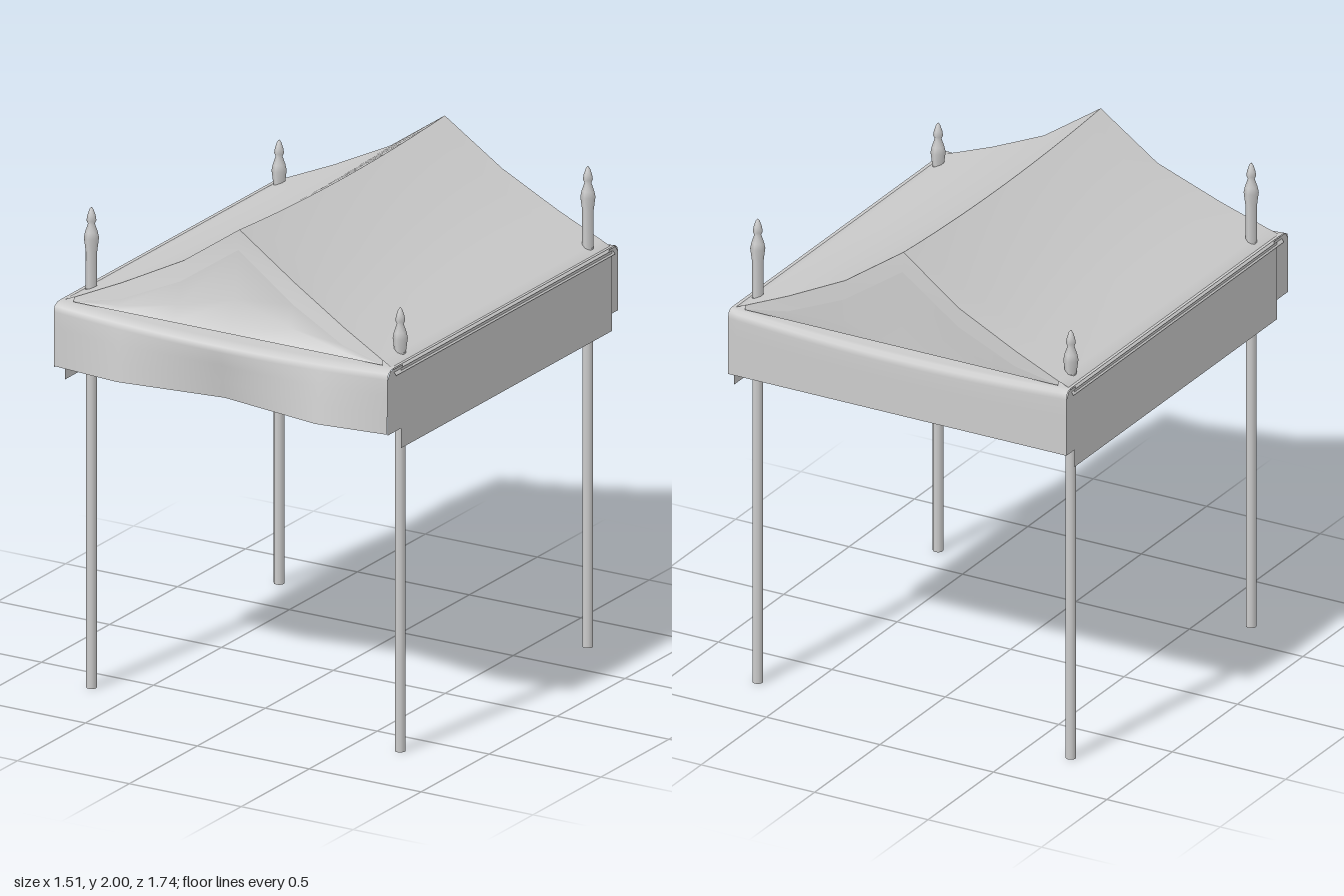
import * as THREE from 'three';

const cloth = new THREE.MeshStandardMaterial({ color: 0xcccccc, side: THREE.DoubleSide });
const metal = new THREE.MeshStandardMaterial({ color: 0xcccccc });

// Smooth sheet through rows x cols points given by point(row, col) -> [x, y, z]
function sheet(name, rows, cols, point) {
  const pos = [], idx = [];
  for (let i = 0; i < rows; i++) for (let j = 0; j < cols; j++) pos.push(...point(i, j));
  for (let i = 0; i < rows - 1; i++) for (let j = 0; j < cols - 1; j++) {
    const a = i * cols + j, b = a + cols;
    idx.push(a, b, a + 1, a + 1, b, b + 1);
  }
  const g = new THREE.BufferGeometry();
  g.setAttribute('position', new THREE.Float32BufferAttribute(pos, 3));
  g.setIndex(idx);
  g.computeVertexNormals();
  const m = new THREE.Mesh(g, cloth);
  m.name = name;
  return m;
}

// Piecewise linear lookup in a list of [key, value]
function lookup(list, t) {
  for (let i = 1; i < list.length; i++) {
    const [a, va] = list[i - 1], [b, vb] = list[i];
    if (t <= b) return va + (vb - va) * (t - a) / (b - a);
  }
  return list[list.length - 1][1];
}

// Roof edge from ridge to eave: x, y, front z, back z
const EDGE = [
  [0, 2.0, 0.69, -0.82], [0.25, 1.828, 0.69, -0.832], [0.5, 1.705, 0.735, -0.832],
  [0.69, 1.622, 0.77, -0.832], [0.735, 1.603, 0.78, -0.83], [0.755, 1.575, 0.78, -0.83],
];
// Inner edge of the gable trim: x, y, front z, back z
const TRIM = [
  [0, 1.92, 0.7, -0.828], [0.25, 1.75, 0.712, -0.836], [0.5, 1.642, 0.752, -0.836],
  [0.69, 1.607, 0.775, -0.834],
];
// Swing of the front hem in z, by x
const WAVE = [[-0.746, 0], [-0.45, 0.03], [0, -0.032], [0.45, 0.042], [0.746, 0.004]];
const HALF = 0.746;

function roof(side) {
  const n = 13;
  return sheet(side > 0 ? 'roofLeft' : 'roofRight', n, EDGE.length, (i, j) => {
    const [x, y, zf, zb] = EDGE[j], t = i / (n - 1);
    const sag = 0.025 * 4 * t * (1 - t) * Math.max(0, 1 - x / 0.7);
    return [side * x, y - sag, zf + (zb - zf) * t];
  });
}

function gable(end) {
  const g = new THREE.Group(), k = end > 0 ? 2 : 3, foot = end > 0 ? 0.775 : -0.834;
  g.name = end > 0 ? 'frontGable' : 'backGable';
  for (const s of [-1, 1]) {
    g.add(sheet('gableTrim', 2, TRIM.length, (i, j) => {
      const p = (i ? TRIM : EDGE)[j];
      return [s * p[0], p[1], p[k]];
    }));
  }
  // Panel across both halves, flaring out to a straight lower edge
  const n = TRIM.length;
  g.add(sheet('gablePanel', 3, 2 * n - 1, (i, j) => {
    const c = j - n + 1, p = TRIM[Math.abs(c)];
    const down = [0, 0.62, 1][i], out = [0, 0.25, 1][i];
    return [
      Math.sign(c) * p[0], p[1] + (1.604 - p[1]) * down, p[k] + (foot - p[k]) * out,
    ];
  }));
  return g;
}

// One sagging drape: front hem, rolled edge, ceiling, rolled edge, back hem
function drape() {
  const section = [
    [0.828, 1.337, 0], [0.828, 1.42, 0.3], [0.828, 1.5, 0.6], [0.828, 1.57, 1],
    [0.822, 1.592, 1], [0.802, 1.603, 1], [0.775, 1.605, 1], [0.6, 1.605, 1], [0, 1.605, 1],
    [-0.7, 1.605, 1], [-0.832, 1.605, 1], [-0.85, 1.603, 1], [-0.862, 1.592, 1],
    [-0.868, 1.57, 1], [-0.868, 1.48, 0.6], [-0.868, 1.335, 0],
  ];
  const cols = 41;
  return sheet('valanceDrape', section.length, cols, (i, j) => {
    const x = HALF * (2 * j / (cols - 1) - 1), [z, y, sag] = section[i];
    const hang = i < 3 ? (1.58 - y) / 0.243 : 0;
    return [
      x, y - sag * 0.028 * (1 - (x / HALF) ** 2) + 0.013 * hang,
      z + hang * lookup(WAVE, x),
    ];
  });
}

// Short flap where an end valance wraps round a corner
function cornerReturn(s, end) {
  const face = end > 0 ? 0.828 : 0.868;
  return sheet('cornerReturn', 2, 3, (i, j) => [
    s * HALF, [1.6, 1.57, end > 0 ? 1.345 : 1.335][j],
    end * (i ? (end > 0 ? 0.72 : 0.8) : j ? face : face - 0.02),
  ]);
}

// Side valance, a flat hanging strip
function sideValance(s) {
  return sheet(s > 0 ? 'leftValance' : 'rightValance', 2, 2, (i, j) =>
    [s * 0.75, i ? 1.267 : 1.593, j ? 0.737 : -0.815]);
}

// Pole with a spear finial standing through the roof
function post(x, z, top) {
  const g = new THREE.Group();
  g.name = 'post';
  const pole = new THREE.Mesh(new THREE.CylinderGeometry(0.021, 0.021, 1.62, 10), metal);
  pole.name = 'pole';
  pole.position.y = 0.81;
  const profile = [
    [0.022, 1.58], [0.022, top - 0.18], [0.029, top - 0.125], [0.024, top - 0.1],
    [0.013, top - 0.068], [0.019, top - 0.055], [0.016, top - 0.035], [0.008, top - 0.01], [0, top],
  ].map(([r, y]) => new THREE.Vector2(r, y));
  const finial = new THREE.Mesh(new THREE.LatheGeometry(profile, 6), metal);
  finial.name = 'finial';
  g.add(pole, finial);
  g.position.set(x, 0, z);
  return g;
}

export function createModel() {
  const model = new THREE.Group();
  model.name = 'canopyTent';
  model.add(drape());
  for (const s of [-1, 1]) {
    model.add(roof(s), sideValance(s), gable(s), cornerReturn(s, 1), cornerReturn(s, -1));
    // Tall and short finials alternate round the corners
    model.add(post(s * 0.69, 0.643, s > 0 ? 1.8 : 1.95));
    model.add(post(s * 0.69, -0.737, s > 0 ? 1.95 : 1.8));
  }
  return model;
}
